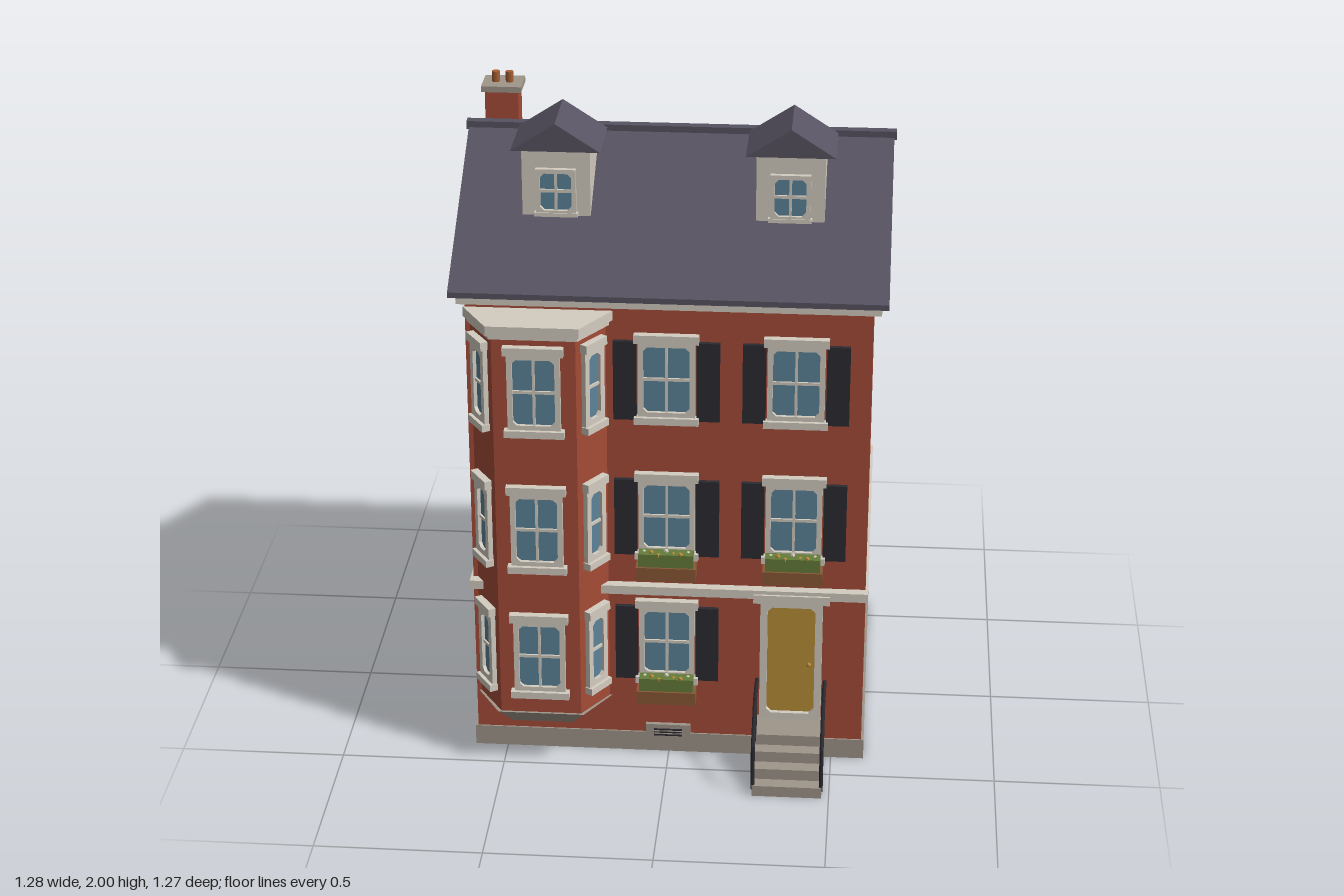
import * as THREE from 'three';

const mat = (name, color, extra = {}) => new THREE.MeshStandardMaterial({ name, color, ...extra });

export function createModel() {
  const brick = mat('brick', 0xa54c37), cream = mat('creamTrim', 0xd3ccc1), stone = mat('stone', 0xa0968a),
    slate = mat('slate', 0x575362), dark = mat('darkPaint', 0x2b2a31), glass = mat('glass', 0x5c8499),
    gold = mat('goldPaint', 0xb98e38), wood = mat('wood', 0x8a5836), leaf = mat('leaves', 0x667c3a),
    clay = mat('terracotta', 0xa65f33);
  const root = new THREE.Group();
  root.name = 'townhouse';

  const add = (parent, name, geo, m) => {
    const mesh = new THREE.Mesh(geo, m);
    mesh.name = name;
    parent.add(mesh);
    return mesh;
  };
  // Box given by its limits on each axis
  const box = (p, name, m, x0, x1, y0, y1, z0, z1) =>
    add(p, name, new THREE.BoxGeometry(x1 - x0, y1 - y0, z1 - z0)
      .translate((x0 + x1) / 2, (y0 + y1) / 2, (z0 + z1) / 2), m);
  const group = (name, parent = root) => {
    const g = new THREE.Group();
    g.name = name;
    parent.add(g);
    return g;
  };
  const poly = pts => new THREE.Shape(pts.map(p => new THREE.Vector2(...p)));
  const extrude = (shape, depth) => new THREE.ExtrudeGeometry(shape, { depth, bevelEnabled: false });
  // (z, y) profile stretched along x
  const across = (pts, x0, x1) => extrude(poly(pts), x1 - x0).rotateY(-Math.PI / 2).translate(x1, 0, 0);
  // (x, z) plan raised along y
  const upward = (pts, y0, y1) => extrude(poly(pts), y1 - y0).rotateX(Math.PI / 2).translate(0, y1, 0);
  const rod = (p, name, a, b, r, m) => {
    const A = new THREE.Vector3(...a), B = new THREE.Vector3(...b), d = B.clone().sub(A);
    const mesh = add(p, name, new THREE.CylinderGeometry(r, r, d.length(), 8), m);
    mesh.position.copy(A).add(B).multiplyScalar(0.5);
    mesh.quaternion.setFromUnitVectors(new THREE.Vector3(0, 1, 0), d.normalize());
  };
  // Flat frame whose opening has clipped corners
  const frame = (w, h, border, depth, c) => {
    const s = poly([[-w / 2, 0], [w / 2, 0], [w / 2, h], [-w / 2, h]]);
    const x = w / 2 - border, y0 = border, y1 = h - border;
    s.holes.push(new THREE.Path([[-x + c, y0], [-x, y0 + c], [-x, y1 - c], [-x + c, y1], [x - c, y1],
      [x, y1 - c], [x, y0 + c], [x - c, y0]].map(p => new THREE.Vector2(...p))));
    return extrude(s, depth);
  };

  // Walls and string courses
  box(root, 'plinth', stone, -0.6, 0.6, 0, 0.065, -0.595, 0.4);
  box(root, 'walls', brick, -0.592, 0.592, 0.02, 1.5, -0.588, 0.395);
  box(root, 'beltCourse', cream, -0.6, 0.6, 0.56, 0.588, -0.6, 0.425);
  box(root, 'cornice', cream, -0.615, 0.615, 1.49, 1.522, -0.615, 0.415);
  add(root, 'gables', across([[-0.595, 1.52], [0.395, 1.52], [-0.1, 1.842]], -0.592, 0.592), brick);

  // Main roof
  add(root, 'roof', across([[0.437, 1.518], [0.437, 1.535], [-0.1, 1.86], [-0.637, 1.535], [-0.637, 1.518],
    [-0.1, 1.838]], -0.635, 0.635), slate);
  box(root, 'ridgeCap', slate, -0.642, 0.642, 1.845, 1.87, -0.115, -0.085);

  // Chimney
  const chimney = group('chimney');
  box(chimney, 'chimneyStack', brick, -0.59, -0.49, 1.7, 1.95, -0.212, -0.128);
  box(chimney, 'chimneyCap', stone, -0.6, -0.48, 1.95, 1.968, -0.227, -0.12);
  for (const x of [-0.561, -0.52])
    rod(chimney, 'chimneyPot', [x, 1.96, -0.173], [x, 2, -0.173], 0.012, clay);

  // Sash window standing on its sill, facing +z
  function sash(parent, x, y, z, w, h, { turn = 0, trim = true, border = 0.016, panes = true } = {}) {
    const g = group('window', parent);
    g.position.set(x, y, z);
    g.rotation.y = turn;
    add(g, 'windowFrame', frame(w, h, border, 0.015, 0.012), cream);
    box(g, 'windowGlass', glass, -w / 2 + 0.008, w / 2 - 0.008, 0.008, h - 0.008, -0.002, 0.004);
    if (panes) box(g, 'verticalBar', cream, -0.004, 0.004, 0.01, h - 0.01, 0, 0.01);
    box(g, 'crossBar', cream, -w / 2 + 0.01, w / 2 - 0.01, h * 0.48, h * 0.48 + 0.009, 0, 0.01);
    if (trim) {
      const o = w > 0.12 ? 0.011 : 0.004;
      box(g, 'lintel', cream, -w / 2 - o, w / 2 + o, h - 0.002, h + 0.024, 0, 0.023);
      box(g, 'sill', cream, -w / 2 - o, w / 2 + o, -0.02, 0.002, 0, 0.026);
    }
    return g;
  }

  // Shuttered front windows
  const W = 0.168, H = 0.24, floors = [0.27, 0.698, 1.145];
  const openings = [[-0.005, 0], [-0.005, 1], [-0.005, 2], [0.373, 1], [0.373, 2]];
  for (const [x, f] of openings) {
    const g = sash(root, x, floors[f], 0.395, W, H);
    for (const s of [-1, 1]) {
      const sx = s * 0.122;
      box(g, 'shutter', dark, sx - 0.034, sx + 0.034, -0.01, 0.24, 0, 0.014);
    }
    if (f === 2) continue;
    // Planted window box
    const b = group('flowerBox', g);
    box(b, 'planter', wood, -0.09, 0.09, -0.073, -0.03, 0.003, 0.06);
    box(b, 'foliage', leaf, -0.082, 0.082, -0.03, 0.012, 0.008, 0.054);
    for (let i = 0; i < 7; i++) {
      const px = -0.066 + i * 0.022;
      const bloom = add(b, 'bloom', new THREE.IcosahedronGeometry(0.008, 0), i % 3 ? gold : cream);
      bloom.position.set(px, 0.008 + (i % 2) * 0.005, 0.028 + (i % 3) * 0.01);
    }
  }

  // Canted bay
  const bay = group('bay'), bx = -0.38, back = 0.395, front = 0.512;
  const plan = (hb, hf, z) => [[bx - hb, back - 0.01], [bx - hb, back], [bx - hf, z], [bx + hf, z],
    [bx + hb, back], [bx + hb, back - 0.01]];
  add(bay, 'bayWalls', upward(plan(0.198, 0.122, front), 0.185, 1.445), brick);
  add(bay, 'bayCornice', upward(plan(0.218, 0.135, 0.535), 1.445, 1.475), cream);
  add(bay, 'bayCorniceBed', upward(plan(0.208, 0.128, 0.523), 1.43, 1.446), cream);
  const corbel = upward(plan(0.206, 0.13, 0.52), 0.14, 0.19), cp = corbel.attributes.position;
  for (let i = 0; i < cp.count; i++) if (cp.getY(i) < 0.16) {
    cp.setX(i, bx + (cp.getX(i) - bx) * 0.7);
    cp.setZ(i, back + (cp.getZ(i) - back) * 0.7);
  }
  corbel.computeVertexNormals();
  add(bay, 'bayCorbel', corbel, stone);
  const turn = Math.atan2(front - back, 0.076);
  for (const y of floors) {
    sash(bay, bx, y, front, 0.155, H);
    for (const s of [-1, 1])
      sash(bay, bx + s * 0.16, y, (front + back) / 2, 0.088, H, { turn: s * turn, panes: false, border: 0.019 });
  }

  // Dormers
  for (const x of [-0.343, 0.34]) {
    const d = group('dormer');
    d.position.x = x;
    add(d, 'dormerWalls', across([[0.19, 1.685], [0.19, 1.888], [-0.01, 1.888], [-0.01, 1.79]], -0.1, 0.1), cream);
    const roof = extrude(poly([[-0.131, 1.885], [0.131, 1.885], [0, 1.97]]), 0.22).translate(0, 0, -0.02);
    add(d, 'dormerRoof', roof, slate);
    sash(d, 0, 1.692, 0.19, 0.118, 0.14, { trim: false, border: 0.013 });
    box(d, 'dormerSill', cream, -0.064, 0.064, 1.686, 1.698, 0.185, 0.208);
  }

  // Front door
  const door = group('frontDoor'), dx = 0.372;
  door.position.x = dx;
  add(door, 'doorFrame', frame(0.188, 0.41, 0.022, 0.022, 0.014).translate(0, 0.14, 0.395), cream);
  box(door, 'doorLeaf', gold, -0.08, 0.08, 0.145, 0.54, 0.39, 0.403);
  box(door, 'doorHood', cream, -0.115, 0.115, 0.548, 0.576, 0.395, 0.432);
  const knob = add(door, 'doorKnob', new THREE.SphereGeometry(0.007, 10, 8), gold);
  knob.position.set(0.055, 0.33, 0.409);

  // Steps and railings
  const stoop = group('stoop');
  [0.512, 0.553, 0.595, 0.636].forEach((z, i) =>
    box(stoop, 'step', stone, 0.268, 0.478, 0, 0.14 - i * 0.035, i ? [0.512, 0.553, 0.595][i - 1] : 0.39, z));
  for (const x of [0.27, 0.476]) {
    const top = [x, 0.265, 0.517], low = [x, 0.165, 0.627];
    rod(stoop, 'handrail', [x, 0.265, 0.395], top, 0.006, dark);
    rod(stoop, 'handrail', top, low, 0.006, dark);
    rod(stoop, 'railPost', [x, 0.02, 0.627], low, 0.006, dark);
    rod(stoop, 'railPost', [x, 0.08, 0.574], [x, 0.213, 0.574], 0.004, dark);
    rod(stoop, 'railPost', [x, 0.12, 0.517], top, 0.005, dark);
    rod(stoop, 'railPost', [x, 0.13, 0.46], [x, 0.265, 0.46], 0.004, dark);
  }

  // Cellar vent
  const vent = group('cellarVent');
  box(vent, 'ventSurround', stone, -0.07, 0.066, 0.03, 0.098, 0.39, 0.408);
  box(vent, 'ventOpening', dark, -0.045, 0.041, 0.06, 0.084, 0.404, 0.411);
  for (const y of [0.067, 0.076]) box(vent, 'ventBar', stone, -0.045, 0.041, y, y + 0.003, 0.408, 0.413);

  return root;
}
